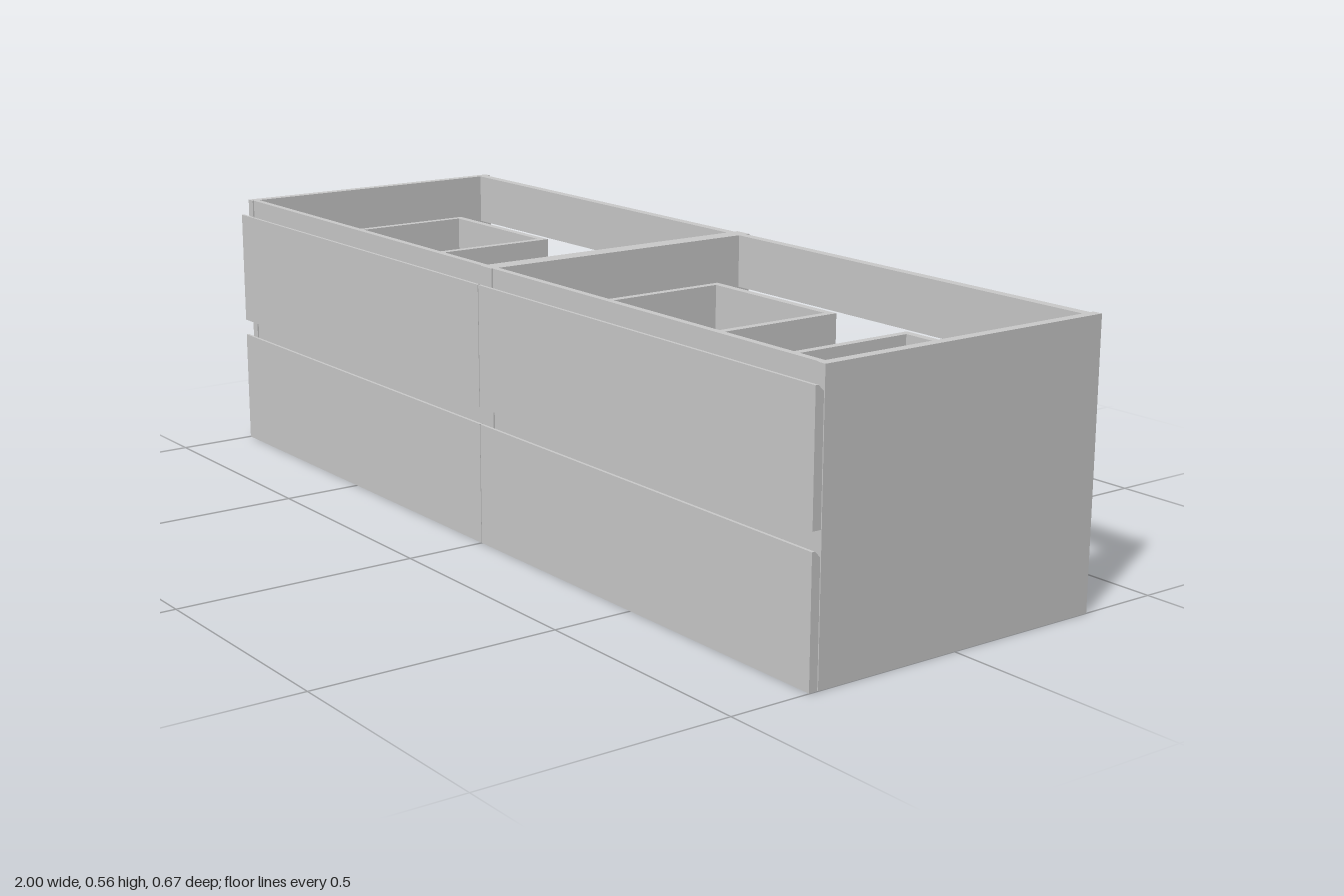
import * as THREE from 'three';

const material = new THREE.MeshStandardMaterial({ color: 0xcccccc, flatShading: true });

const H = 0.56, T = 0.02;           // cabinet height, board thickness
const BACK = -0.333, FRONT = 0.314; // cabinet depth limits
const WALL = 0.017;                 // drawer wall thickness

function add(group, name, geometry) {
  const mesh = new THREE.Mesh(geometry, material);
  mesh.name = name;
  group.add(mesh);
  return mesh;
}

// Box given by its limits along x, y and z
function board(group, name, x0, x1, y0, y1, z0, z1) {
  const mesh = add(group, name, new THREE.BoxGeometry(x1 - x0, y1 - y0, z1 - z0));
  mesh.position.set((x0 + x1) / 2, (y0 + y1) / 2, (z0 + z1) / 2);
}

// Drawer plan (x, z), moved inwards by inset; optional notch for the drain pipe.
// Corners run counter-clockwise.
function drawerPlan(inset, notched, Kind = THREE.Shape) {
  const x = 0.474 - inset, back = -0.243 + inset, front = 0.314 - inset;
  const nx = 0.1 + inset, nz = 0.09 + inset;
  const points = [[x, back], [x, front], [-x, front], [-x, back]];
  if (notched) points.push([-nx, back], [-nx, nz], [nx, nz], [nx, back]);
  return new Kind(points.map(([a, b]) => new THREE.Vector2(a, b)));
}

// Flat plan extruded downwards from height top
function slab(group, name, shape, top, depth) {
  const geometry = new THREE.ExtrudeGeometry(shape, { depth, bevelEnabled: false });
  geometry.rotateX(Math.PI / 2);
  add(group, name, geometry).position.y = top;
}

// Drawer box plus its front with a chamfered finger grip
function makeDrawer(name, y0, notched) {
  const drawer = new THREE.Group();
  drawer.name = name;

  const walls = drawerPlan(0, notched);
  walls.holes.push(drawerPlan(WALL, notched, THREE.Path));
  slab(drawer, 'drawerWalls', walls, y0 + 0.186, 0.132);
  slab(drawer, 'drawerFloor', drawerPlan(WALL, notched), y0 + 0.07, 0.016);

  // Front profile in (z, y), extruded along x
  const profile = new THREE.Shape([
    [FRONT + 0.001, 0], [0.333, 0], [0.333, 0.246], [0.327, 0.246], [FRONT + 0.001, 0.234],
  ].map(([z, y]) => new THREE.Vector2(z, y)));
  const width = 0.998;
  const front = new THREE.ExtrudeGeometry(profile, { depth: width, bevelEnabled: false });
  front.translate(0, 0, -width / 2);
  front.rotateY(-Math.PI / 2);
  add(drawer, 'drawerFront', front).position.y = y0;
  return drawer;
}

function makeCabinet() {
  const cabinet = new THREE.Group();
  const inner = 0.5 - T;

  // Carcass sides and bottom
  for (const s of [-1, 1]) {
    const c = s * (0.5 - T / 2);
    board(cabinet, 'sidePanel', c - T / 2, c + T / 2, 0, H, BACK, FRONT);
  }
  board(cabinet, 'bottomPanel', -inner, inner, 0, T, BACK, FRONT);

  // Rails across the back and behind the front gaps
  board(cabinet, 'upperBackRail', -inner, inner, 0.45, H, -0.325, -0.305);
  board(cabinet, 'lowerBackRail', -inner, inner, T, 0.13, -0.325, -0.305);
  board(cabinet, 'topFrontRail', -inner, inner, 0.475, H, 0.297, 0.311);
  board(cabinet, 'middleFrontRail', -inner, inner, 0.2, 0.29, 0.297, 0.311);

  cabinet.add(makeDrawer('lowerDrawer', 0, false));
  cabinet.add(makeDrawer('upperDrawer', 0.281, true));
  return cabinet;
}

export function createModel() {
  const model = new THREE.Group();
  model.name = 'doubleVanityCabinet';
  for (const s of [-1, 1]) {
    const cabinet = makeCabinet();
    cabinet.name = s < 0 ? 'rightCabinet' : 'leftCabinet';
    cabinet.position.x = s * 0.5;
    model.add(cabinet);
  }
  return model;
}
